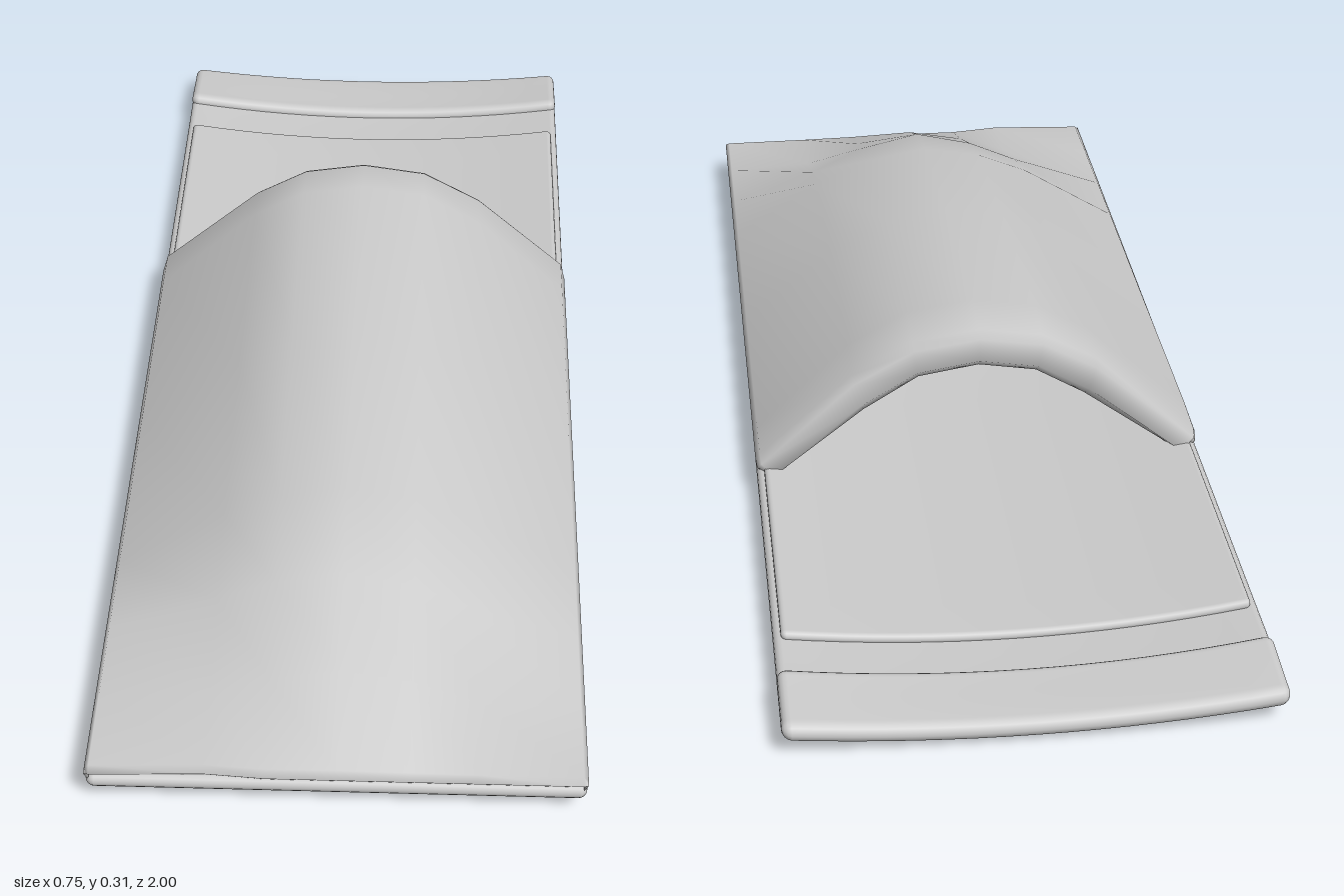
import * as THREE from 'three';
import { mergeVertices } from 'three/addons/utils/BufferGeometryUtils.js';

const material = new THREE.MeshStandardMaterial({ color: 0xcccccc, side: THREE.DoubleSide });
const HALF = 0.372; // half width of the bedding

// Skins rows of [x, y, z] points into one smooth surface
function skin(rows) {
  const n = rows[0].length, index = [];
  for (let j = 0; j < rows.length - 1; j++) {
    for (let i = 0; i < n - 1; i++) {
      const a = j * n + i, c = a + n;
      index.push(a, a + 1, c, a + 1, c + 1, c);
    }
  }
  const geometry = new THREE.BufferGeometry();
  geometry.setAttribute('position', new THREE.Float32BufferAttribute(rows.flat(2), 3));
  geometry.setIndex(index);
  const welded = mergeVertices(geometry, 1e-5);
  welded.computeVertexNormals();
  return welded;
}

// The middle hangs lower than the sides, fading out towards the foot
function sag(x, z) {
  const depth = 0.03 * (1 - THREE.MathUtils.smoothstep(z, 0, 1)) - 0.007 * THREE.MathUtils.smoothstep(-z, 0.85, 1);
  return depth * (1 - (x / HALF) ** 2);
}

// Soft pad with rounded rims; tilt lowers its back end
function pad(halfWidth, y0, y1, z0, z1, tilt = 0) {
  const r = (y1 - y0) / 2, mid = (y0 + y1) / 2, steps = 4, across = 16, along = 24;
  const stations = [];
  for (let k = 0; k <= steps; k++) {
    const a = (k / steps) * Math.PI / 2;
    stations.push([-halfWidth + r * (1 - Math.sin(a + 0)), Math.sin(Math.acos(1 - Math.sin(a)))]);
  }
  // Rim stations: quarter circle from the side edge inwards
  stations.length = 0;
  for (let k = 0; k <= steps; k++) {
    const a = (k / steps) * Math.PI / 2;
    stations.push([-halfWidth + r * (1 - Math.cos(a)), Math.sin(a)]);
  }
  for (let k = 1; k < across; k++) stations.push([(halfWidth - r) * (2 * k / across - 1), 1]);
  for (let k = steps; k >= 0; k--) {
    const a = (k / steps) * Math.PI / 2;
    stations.push([halfWidth - r * (1 - Math.cos(a)), Math.sin(a)]);
  }
  const rows = stations.map(([x, s]) => {
    const h = r * s, za = z0 + r, zb = z1 - r, ring = [];
    for (let k = 0; k <= along; k++) ring.push([za + (zb - za) * k / along, h]);
    for (let k = 1; k < 8; k++) {
      const a = k * Math.PI / 8;
      ring.push([zb + h * Math.sin(a), h * Math.cos(a)]);
    }
    for (let k = along; k >= 0; k--) ring.push([za + (zb - za) * k / along, -h]);
    for (let k = 1; k <= 8; k++) {
      const a = k * Math.PI / 8;
      ring.push([za - h * Math.sin(a), -h * Math.cos(a)]);
    }
    return ring.map(([z, y]) => [x, mid + y - sag(x, z) - tilt * (z1 - z) / (z1 - z0), z]);
  });
  return skin(rows);
}

// Domed cover, with a thick rolled hem and a hollow underside
function coverGeometry() {
  const columns = [-0.366, -0.373, -0.366, -0.195, -0.105, 0, 0.11, 0.21, 0.366, 0.373, 0.366];
  const section = (z, crown, shoulder, hip, edge) =>
    [0.055, 0.066, edge, hip, shoulder, crown, shoulder, hip - 0.007, edge, 0.066, 0.055]
      .map((y, i) => [columns[i], y, z]);
  const rows = [
    section(0.992, 0.055, 0.055, 0.062, 0.055),
    section(1.0, 0.064, 0.064, 0.071, 0.064),
    section(0.99, 0.075, 0.074, 0.08, 0.073),
    section(0.85, 0.142, 0.122, 0.09, 0.076),
    section(0.7, 0.205, 0.18, 0.14, 0.078),
    section(0.55, 0.242, 0.222, 0.185, 0.08),
    section(0.2, 0.28, 0.263, 0.212, 0.083),
    section(-0.2, 0.307, 0.291, 0.241, 0.088),
  ];
  // Hem, then the lining: z, drop below the top, inset of the sides
  const top = section(-0.285, 0.296, 0.28, 0.231, 0.084);
  const inner = [
    [-0.285, 0, 1], [-0.302, 0.01, 0.995], [-0.302, 0.05, 0.94], [-0.285, 0.065, 0.91],
    [-0.2, 0.068, 0.9], [0.2, 0.085, 0.9], [0.55, 0.13, 0.9], [0.8, 0.24, 0.9],
  ];
  for (const [z, drop, inset] of inner) {
    rows.push(top.map(([x, y], i) => {
      const low = i < 2 || i > 8;
      return [x * inset, Math.max(0.05, y - drop), z + (low ? 0.02 : 0)];
    }));
  }
  return skin(rows);
}

export function createModel() {
  const group = new THREE.Group();
  const add = (name, geometry) => {
    const mesh = new THREE.Mesh(geometry, material);
    mesh.name = name;
    group.add(mesh);
  };
  add('mat', pad(HALF, 0.03, 0.056, -0.995, 0.998));
  add('sheet', pad(0.36, 0.05, 0.068, -0.775, 0.9));
  add('pillow', pad(HALF, 0.042, 0.072, -1, -0.865, 0.012));
  add('cover', coverGeometry());
  return group;
}
